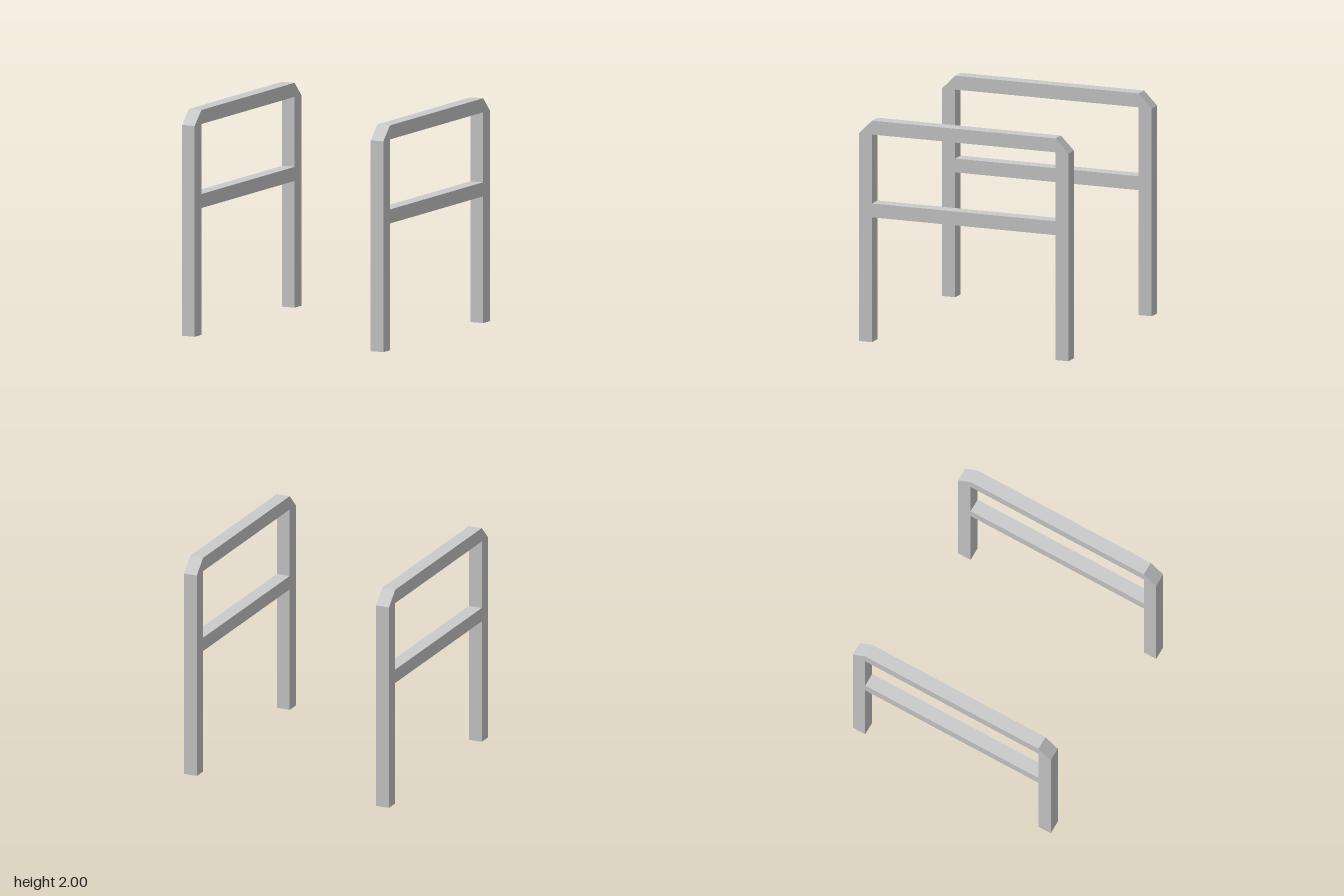
import * as THREE from 'three';

const BAR = 0.125; // square bar thickness
const HALF = 1; // half the length and width
const HEIGHT = 2;
const RAIL_Y = 1.19; // centre height of the middle rail

// Upside-down U with chamfered top corners, drawn in the side plane
function frameGeometry() {
  const inner = HALF - BAR;
  const top = HEIGHT - BAR;
  const outline = [
    [-HALF, 0], [-inner, 0], [-inner, top], [inner, top], [inner, 0],
    [HALF, 0], [HALF, top], [inner, HEIGHT], [-inner, HEIGHT], [-HALF, top],
  ];
  const shape = new THREE.Shape(outline.map(([z, y]) => new THREE.Vector2(z, y)));
  const geometry = new THREE.ExtrudeGeometry(shape, { depth: BAR, bevelEnabled: false });
  geometry.translate(0, 0, -BAR / 2);
  geometry.rotateY(-Math.PI / 2);
  return geometry;
}

export function createModel() {
  const model = new THREE.Group();
  model.name = 'pairOfRails';
  const material = new THREE.MeshStandardMaterial({ color: 0xcccccc, flatShading: true });
  const frame = frameGeometry();
  const rail = new THREE.BoxGeometry(BAR, BAR, 2 * (HALF - BAR));

  // One barrier on each side
  for (const [side, sign] of [['left', 1], ['right', -1]]) {
    const barrier = new THREE.Group();
    barrier.name = side + 'Barrier';
    barrier.position.x = sign * (HALF - BAR / 2);

    const frameMesh = new THREE.Mesh(frame, material);
    frameMesh.name = side + 'Frame';

    const railMesh = new THREE.Mesh(rail, material);
    railMesh.name = side + 'MiddleRail';
    railMesh.position.y = RAIL_Y;

    barrier.add(frameMesh, railMesh);
    model.add(barrier);
  }
  return model;
}
